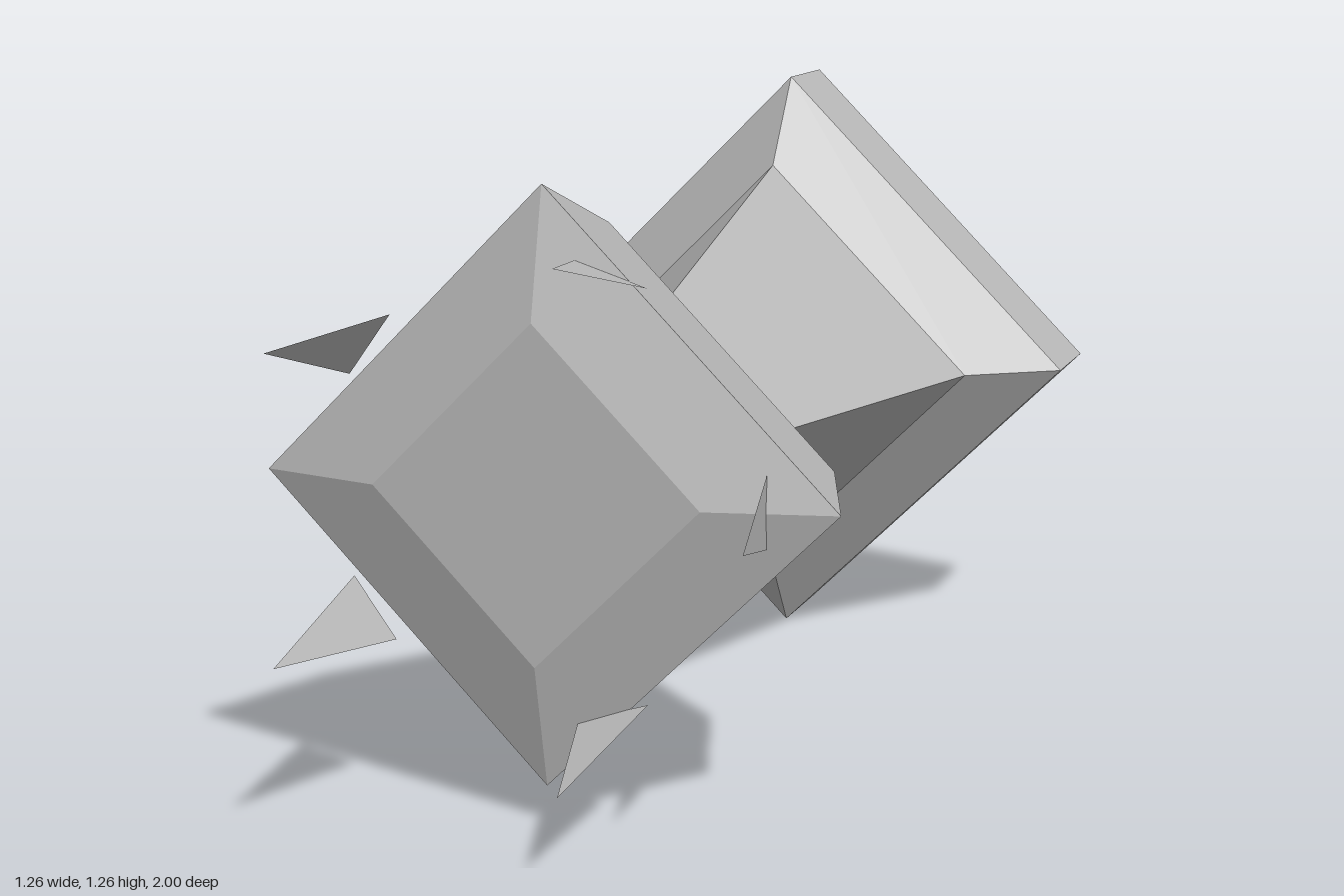
import * as THREE from 'three';

const CENTRE_Y = 0.63;

export function createModel() {
  const group = new THREE.Group();
  const grey = new THREE.MeshStandardMaterial({ color: 0xb8b8b8, flatShading: true, side: THREE.DoubleSide });
  grey.name = 'plain grey';

  // Four-sided turned section along z; profile is [radius, z] from back to front
  function section(name, profile) {
    const points = profile.map(([r, z]) => new THREE.Vector2(r, z));
    const geometry = new THREE.LatheGeometry(points, 4);
    geometry.rotateX(Math.PI / 2);
    const mesh = new THREE.Mesh(geometry.toNonIndexed(), grey);
    mesh.geometry.computeVertexNormals();
    mesh.name = name;
    mesh.position.y = CENTRE_Y;
    group.add(mesh);
  }

  section('base', [[0, -1], [0.63, -1], [0.63, -0.78], [0.445, -0.65]]);
  section('stem', [[0.445, -0.65], [0.222, 0.13]]);
  section('head', [[0.222, 0.13], [0.445, 0.355], [0.555, 0.685], [0.315, 0.74], [0, 0.74]]);

  // Ring of five flat triangular spikes around the front of the head
  const spike = new THREE.BufferGeometry();
  spike.setAttribute('position', new THREE.Float32BufferAttribute([
    0.422, -0.071, 0.685,
    0.422, 0.071, 0.685,
    0.48, 0, 1,
  ], 3));
  spike.computeVertexNormals();
  for (let i = 0; i < 5; i++) {
    const mesh = new THREE.Mesh(spike, grey);
    mesh.name = 'spike' + (i + 1);
    mesh.position.y = CENTRE_Y;
    mesh.rotation.z = (i * Math.PI * 2) / 5;
    group.add(mesh);
  }

  return group;
}
